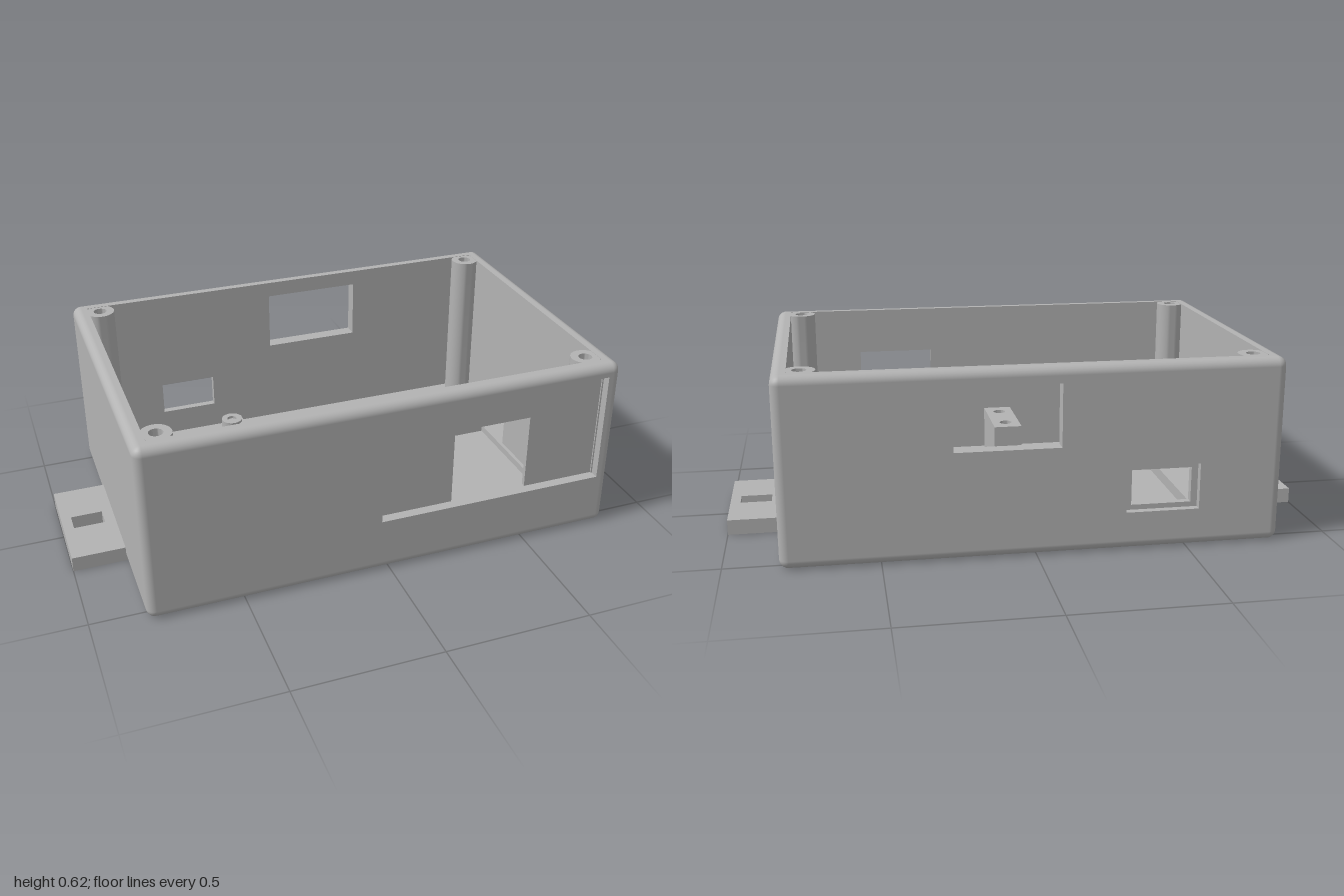
import * as THREE from 'three';
import { toCreasedNormals } from 'three/addons/utils/BufferGeometryUtils.js';

const HX = 0.82, HZ = 0.55, H = 0.625, R = 0.03;  // outer half sizes, height, edge radius
const IX = 0.77, IZ = 0.5, FLOOR = 0.05;          // cavity half sizes, floor top

function trace(path, pts) {
  pts.forEach(([x, y], i) => (i ? path.lineTo(x, y) : path.moveTo(x, y)));
  path.closePath();
  return path;
}
const rect = (x0, x1, y0, y1) => [[x0, y0], [x1, y0], [x1, y1], [x0, y1]];
const disc = (x, y, r) => new THREE.Path().absarc(x, y, r, 0, Math.PI * 2);

// Extruded sheet with holes (each a point list or a Path)
function sheet(outline, holes, depth) {
  const shape = trace(new THREE.Shape(), outline);
  shape.holes = holes.map(h => (Array.isArray(h) ? trace(new THREE.Path(), h) : h));
  const g = new THREE.ExtrudeGeometry(shape, { depth, bevelEnabled: false, curveSegments: 24 });
  return toCreasedNormals(g, 0.6);
}

// Upright sheet from z0 to z1
const wall = (outline, holes, z0, z1) => sheet(outline, holes, z1 - z0).translate(0, 0, z0);

// Level sheet from y0 to y1; its shape is drawn in x and -z
const slab = (outline, holes, y0, y1) =>
  sheet(outline, holes, y1 - y0).rotateX(-Math.PI / 2).translate(0, y0, 0);

// Rounded outer skin, open on top, underneath, and on the flat front and back
function skinGeometry() {
  const n = 6, pos = [], nor = [], idx = [], cols = 4 * (n + 1);
  for (let row = 0; row < 2 * (n + 1); row++) {
    const upper = row > n;
    const phi = ((upper ? row - 1 : row) / n - 1) * Math.PI / 2;
    for (let k = 0; k < 4; k++) {
      const sx = k === 0 || k === 3 ? 1 : -1, sz = k < 2 ? 1 : -1;
      for (let i = 0; i <= n; i++) {
        const t = (k + i / n) * Math.PI / 2;
        const d = [Math.cos(phi) * Math.cos(t), Math.sin(phi), Math.cos(phi) * Math.sin(t)];
        pos.push(sx * (HX - R) + R * d[0], (upper ? H - R : R) + R * d[1], sz * (HZ - R) + R * d[2]);
        nor.push(...d);
      }
    }
  }
  for (let row = 0; row < 2 * n + 1; row++) {
    for (let c = 0; c < cols; c++) {
      if (row === n && (c === n || c === 3 * n + 2)) continue;  // front and back walls go here
      const a = row * cols + c, b = row * cols + (c + 1) % cols;
      idx.push(a, a + cols, b, b, a + cols, b + cols);
    }
  }
  const g = new THREE.BufferGeometry();
  g.setAttribute('position', new THREE.Float32BufferAttribute(pos, 3));
  g.setAttribute('normal', new THREE.Float32BufferAttribute(nor, 3));
  g.setIndex(idx);
  return g;
}

// Round post with a blind screw hole
function postGeometry(radius, bore, height, depth) {
  const pts = [[radius, 0], [radius, height], [bore, height], [bore, height - depth], [0, height - depth]];
  return toCreasedNormals(new THREE.LatheGeometry(pts.map(p => new THREE.Vector2(...p)), 32), 0.6);
}

export function createModel() {
  const model = new THREE.Group();
  model.name = 'electronicsEnclosure';
  const grey = new THREE.MeshStandardMaterial({ color: 0xb3b3b3 });
  grey.name = 'greyPlastic';

  const add = (name, geometry, x = 0, y = 0, z = 0) => {
    const mesh = new THREE.Mesh(geometry, grey);
    mesh.name = name;
    mesh.position.set(x, y, z);
    model.add(mesh);
    return mesh;
  };
  const box = (name, x0, x1, y0, y1, z0, z1) =>
    add(name, new THREE.BoxGeometry(x1 - x0, y1 - y0, z1 - z0), (x0 + x1) / 2, (y0 + y1) / 2, (z0 + z1) / 2);

  const fx = HX - R, fz = HZ - R;
  const face = rect(-fx, fx, R, H - R), plan = rect(-fx, fx, -fz, fz);

  // Shell
  add('outerSkin', skinGeometry());
  add('topRim', slab(plan, [rect(-IX, IX, -IZ, IZ)], H - R, H));
  for (const s of [-1, 1]) {
    const [a, b] = [s * IX, s * (HX - 0.01)].sort((p, q) => p - q);
    box('sideWallInner', a, b, R, H - R, -fz, fz);
  }

  // Front wall: shallow recess with an opening at its lower middle
  const step = HZ - 0.035;
  add('frontWallOuter', wall(face, [rect(-0.03, 0.775, 0.19, 0.58)], step, HZ));
  add('frontWallInner', wall(face, [rect(0.235, 0.51, 0.19, 0.46)], IZ, step));

  // Back wall: large window and a stepped connector port
  const backWindow = rect(-0.08, 0.267, 0.36, 0.57);
  add('backWallOuter', wall(face, [backWindow, rect(-0.54, -0.295, 0.128, 0.283)], -HZ, -HZ + 0.025));
  add('backWallInner', wall(face, [backWindow, rect(-0.518, -0.317, 0.145, 0.264)], -HZ + 0.025, -IZ));

  // Floor with a shallow pocket
  box('base', -fx, fx, 0, 0.025, -fz, fz);
  const pocket = [[0.06, -0.44], [0.68, -0.44], [0.68, 0.125], [0.46, 0.125],
    [0.46, 0.2], [0.28, 0.2], [0.28, 0.125], [0.06, 0.125]];
  add('floor', slab(plan, [pocket], 0.025, FLOOR));

  // Corner posts for the lid screws
  const cornerPost = postGeometry(0.05, 0.023, H - 0.001 - FLOOR, 0.3);
  for (const x of [-0.73, 0.73]) for (const z of [-0.463, 0.463]) add('cornerPost', cornerPost, x, FLOOR, z);

  // Circuit board rails and standoffs
  const standoff = postGeometry(0.04, 0.018, 0.05, 0.045);
  for (const [x0, x1, px] of [[-0.62, -0.563, -0.577], [-0.285, -0.22, -0.265]]) {
    box('boardRail', x0, x1, FLOOR, 0.09, -0.47, 0.25);
    for (const z of [-0.438, 0.22]) add('boardStandoff', standoff, px, FLOOR, z);
  }

  // Drilled blocks on both sides of the pocket
  for (const [x0, x1, hx] of [[-0.05, 0.05, 0], [0.693, 0.775, 0.74]]) {
    const holes = [disc(hx, -0.085, 0.022), disc(hx, -0.235, 0.022)];
    add('mountingBlock', slab(rect(x0, x1, -0.295, -0.025), holes, FLOOR, 0.267));
  }

  // Slotted wall mounting tabs
  for (const s of [-1, 1]) {
    const span = (a, b) => (s > 0 ? [a, b] : [-b, -a]);
    add(s > 0 ? 'leftTab' : 'rightTab',
      slab(rect(...span(0.8, 1), -0.207, 0.207), [rect(...span(0.857, 0.965), -0.033, 0.036)], 0, 0.052));
  }
  return model;
}
